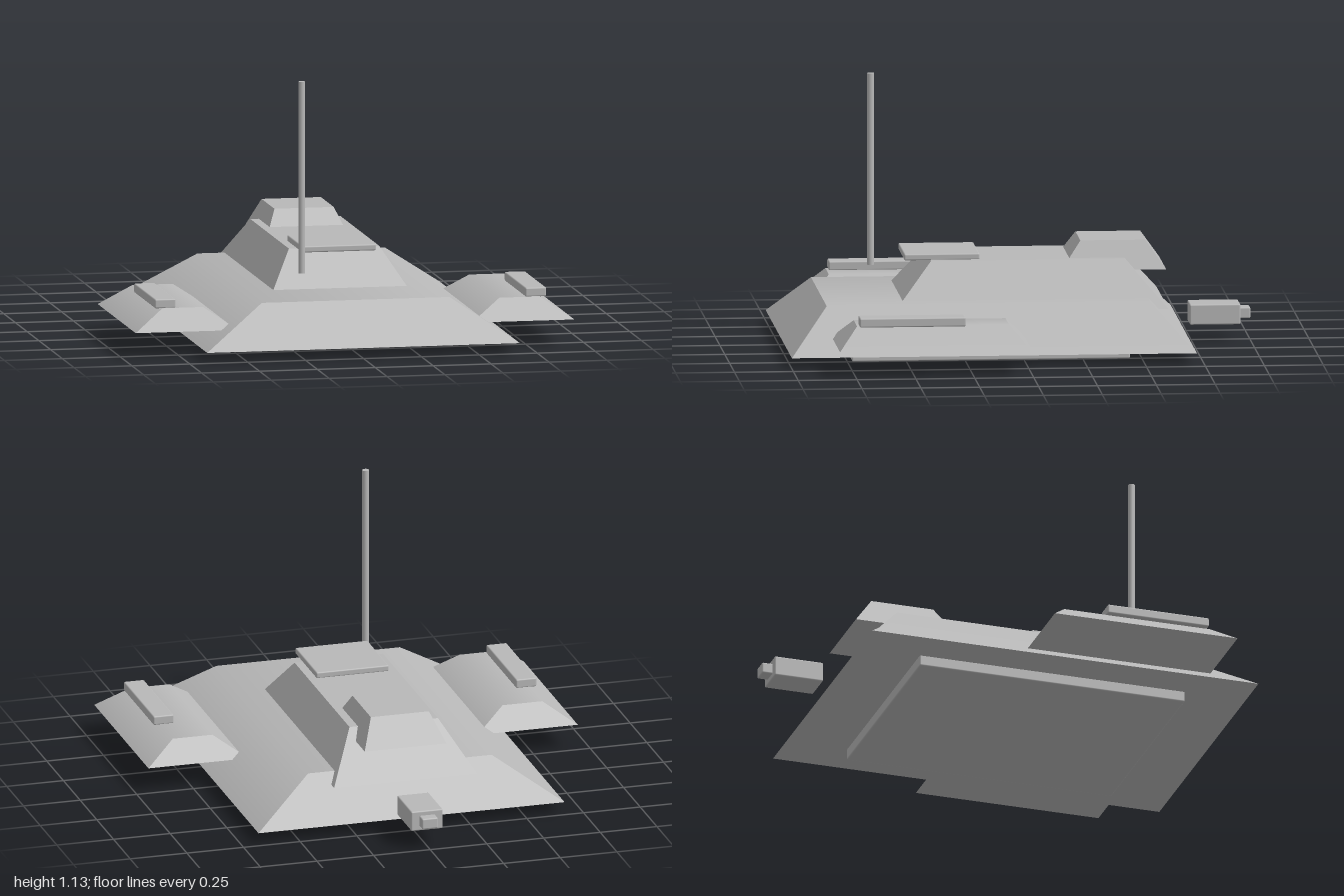
import * as THREE from 'three';
import { toCreasedNormals } from 'three/addons/utils/BufferGeometryUtils.js';
import { RoundedBoxGeometry } from 'three/addons/geometries/RoundedBoxGeometry.js';

export function createModel() {
  const model = new THREE.Group();
  model.name = 'armouredVehicle';
  const grey = new THREE.MeshStandardMaterial({ color: 0xb8b8b8 });
  grey.name = 'plain grey';

  function add(name, geometry) {
    const mesh = new THREE.Mesh(geometry, grey);
    mesh.name = name;
    model.add(mesh);
    return mesh;
  }

  // Block with sloped sides; each rectangle is [x0, x1, z0, z1]
  function slopedBlock(name, y0, bottom, y1, top) {
    const geometry = new THREE.BoxGeometry(1, 1, 1);
    const p = geometry.attributes.position;
    for (let i = 0; i < p.count; i++) {
      const up = p.getY(i) > 0;
      const r = up ? top : bottom;
      p.setXYZ(i, p.getX(i) > 0 ? r[1] : r[0], up ? y1 : y0, p.getZ(i) > 0 ? r[3] : r[2]);
    }
    // Gentle side slopes shade smoothly, steeper edges stay sharp
    return add(name, toCreasedNormals(geometry, 0.65));
  }

  // Box with slightly softened edges, given by its limits
  function softBox(name, x0, x1, y0, y1, z0, z1) {
    const geometry = new RoundedBoxGeometry(x1 - x0, y1 - y0, z1 - z0, 2, 0.006);
    geometry.translate((x0 + x1) / 2, (y0 + y1) / 2, (z0 + z1) / 2);
    return add(name, geometry);
  }

  // Hull and belly
  slopedBlock('hull', 0.045, [-0.675, 0.675, -0.72, 1], 0.225, [-0.405, 0.405, -0.545, 0.83]);
  softBox('bellyPlate', -0.5, 0.5, 0, 0.05, -0.45, 0.73);

  // Raised cabin with its hatch and rear cupola
  slopedBlock('cabin', 0.18, [-0.315, 0.315, -0.63, 0.535], 0.38, [-0.195, 0.195, -0.453, 0.37]);
  softBox('hatch', -0.16, 0.16, 0.378, 0.405, 0.16, 0.48);
  slopedBlock('cupola', 0.33, [-0.18, 0.18, -0.63, -0.185], 0.45, [-0.128, 0.128, -0.545, -0.27]);

  // Side pods with top rails
  for (const [side, s] of [['left', 1], ['right', -1]]) {
    const span = (a, b) => (s > 0 ? [a, b] : [-b, -a]);
    slopedBlock(side + 'Pod', 0.11, [...span(0.505, 0.947), 0.005, 0.818],
      0.2, [...span(0.64, 0.815), 0.09, 0.735]);
    softBox(side + 'PodRail', ...span(0.755, 0.845), 0.198, 0.237, 0.275, 0.725);
  }

  // Rear unit
  softBox('rearUnit', -0.07, 0.07, 0.073, 0.16, -0.955, -0.74);
  softBox('rearNozzle', -0.035, 0.035, 0.093, 0.14, -1, -0.95);

  // Antenna
  const antenna = add('antenna', new THREE.CylinderGeometry(0.015, 0.015, 0.82, 16));
  antenna.position.set(-0.185, 0.72, 0.595);

  return model;
}
